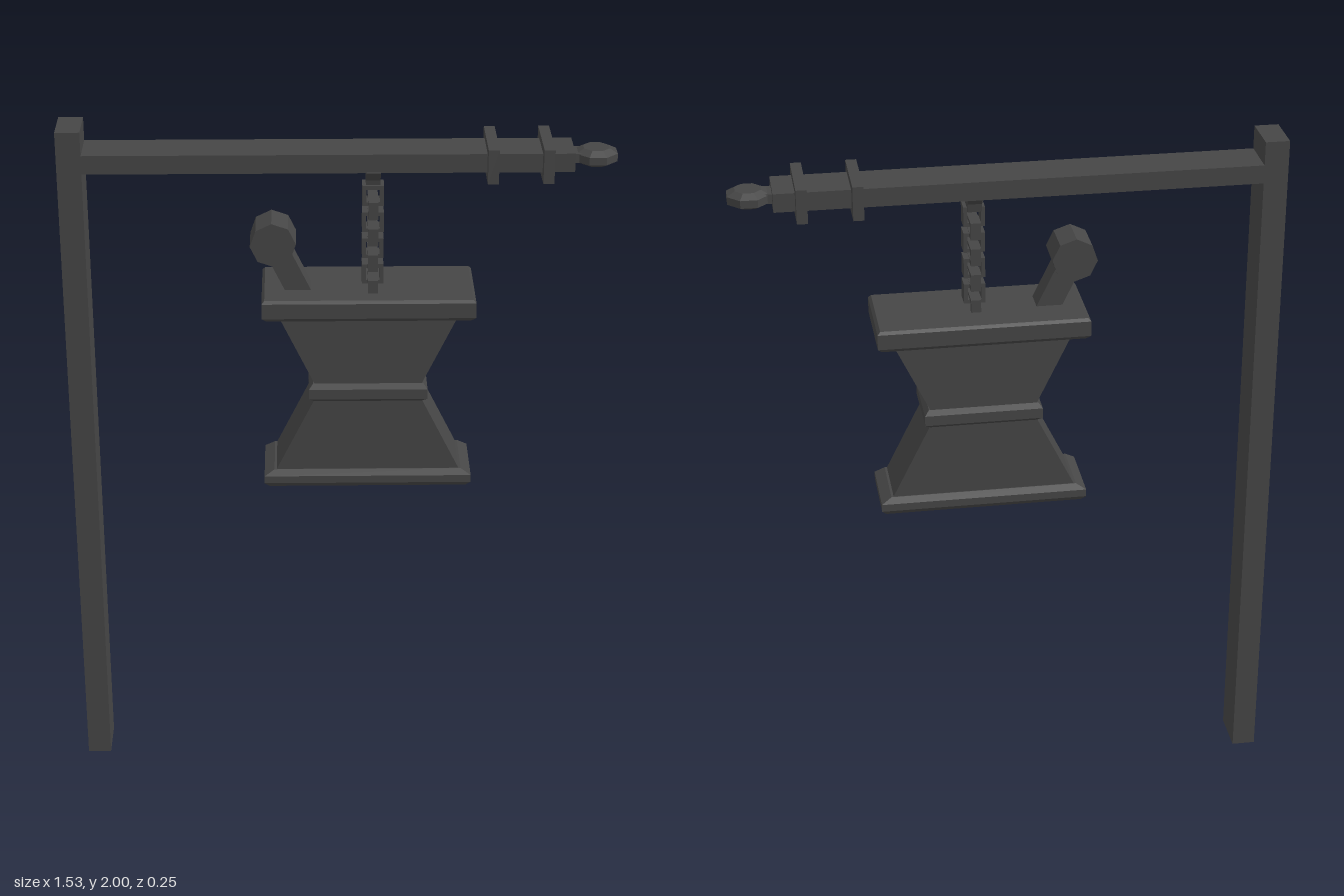
import * as THREE from 'three';

const iron = new THREE.MeshStandardMaterial({ color: 0x464646 });
iron.name = 'dark iron';

// Stack of rectangular sections [y, halfX, halfZ], capped at both ends
function loft(sections) {
  const rings = sections.map(([y, x, z]) => [[-x, y, z], [x, y, z], [x, y, -z], [-x, y, -z]]);
  const pos = [];
  const quad = (a, b, c, d) => pos.push(...a, ...b, ...c, ...a, ...c, ...d);
  for (let i = 0; i < rings.length - 1; i++) {
    for (let k = 0; k < 4; k++) {
      const n = (k + 1) % 4;
      quad(rings[i][k], rings[i][n], rings[i + 1][n], rings[i + 1][k]);
    }
  }
  quad(...rings[rings.length - 1]);
  quad(...[...rings[0]].reverse());
  const g = new THREE.BufferGeometry();
  g.setAttribute('position', new THREE.Float32BufferAttribute(pos, 3));
  g.computeVertexNormals();
  return g;
}

// Square chain link: a frame in the xy plane, centred on the origin
function linkGeometry(w, h, depth, bar) {
  const rect = (P, x, y) => new P([
    new THREE.Vector2(-x, -y), new THREE.Vector2(x, -y),
    new THREE.Vector2(x, y), new THREE.Vector2(-x, y)]);
  const s = rect(THREE.Shape, w / 2, h / 2);
  s.holes.push(rect(THREE.Path, w / 2 - bar, h / 2 - bar));
  const g = new THREE.ExtrudeGeometry(s, { depth, bevelEnabled: false });
  g.translate(0, 0, -depth / 2);
  return g;
}

export function createModel() {
  const model = new THREE.Group();
  model.name = 'hangingMortarSign';
  const add = (name, geometry, x, y, z, parent = model) => {
    const m = new THREE.Mesh(geometry, iron);
    m.name = name;
    m.position.set(x, y, z);
    parent.add(m);
    return m;
  };
  const box = (name, x0, x1, y0, y1, z0, z1) => add(name,
    new THREE.BoxGeometry(x1 - x0, y1 - y0, z1 - z0),
    (x0 + x1) / 2, (y0 + y1) / 2, (z0 + z1) / 2);

  // Post and arm
  box('post', -0.768, -0.7, 0, 2, -0.072, 0.057);
  box('arm', -0.7, 0.645, 1.88, 1.933, -0.072, 0.057);
  box('armCollar', 0.405, 0.435, 1.858, 1.955, -0.11, 0.09);
  box('armCollar', 0.556, 0.586, 1.858, 1.955, -0.11, 0.09);
  box('finialNeck', 0.64, 0.68, 1.893, 1.92, -0.04, 0.022);

  // Eight-sided finial with bevelled rim
  const profile = [[0, -0.023], [0.038, -0.023], [0.062, -0.011], [0.062, 0.011], [0.038, 0.023], [0, 0.023]];
  const finial = new THREE.LatheGeometry(profile.map(p => new THREE.Vector2(...p)), 8, Math.PI / 8)
    .toNonIndexed();
  finial.computeVertexNormals();
  add('finial', finial, 0.708, 1.906, -0.01);

  // Flared bracket under the arm
  add('chainBracket', loft([[1.825, 0.02, 0.025], [1.85, 0.02, 0.03], [1.882, 0.02, 0.06]]), 0.095, 0, 0.005);

  // Chain of links set alternately across and along
  const chain = new THREE.Group();
  chain.name = 'chain';
  model.add(chain);
  const acrossLink = linkGeometry(0.06, 0.058, 0.05, 0.011);
  const alongLink = linkGeometry(0.112, 0.05, 0.028, 0.012);
  alongLink.rotateY(Math.PI / 2);
  for (let i = 0; i < 4; i++) {
    const y = 1.807 - i * 0.077;
    add('acrossLink', acrossLink, 0.095, y, 0.015, chain);
    add('alongLink', alongLink, 0.095, y - 0.033, 0.017, chain);
  }

  // Mortar, from foot to rim
  const mortar = new THREE.Group();
  mortar.name = 'mortar';
  mortar.position.x = 0.083;
  model.add(mortar);
  add('foot', loft([[0.935, 0.283, 0.088], [0.95, 0.297, 0.1], [0.972, 0.297, 0.1],
    [0.99, 0.268, 0.09]]), 0, 0, 0, mortar);
  add('lowerBody', loft([[0.985, 0.264, 0.088], [1.215, 0.15, 0.088]]), 0, 0, 0, mortar);
  add('waistBand', loft([[1.207, 0.152, 0.09], [1.217, 0.168, 0.1], [1.247, 0.168, 0.1],
    [1.263, 0.156, 0.092]]), 0, 0, 0, mortar);
  add('upperBody', loft([[1.255, 0.148, 0.092], [1.48, 0.256, 0.092]]), 0, 0, 0, mortar);
  add('rim', loft([[1.467, 0.285, 0.118], [1.478, 0.298, 0.127], [1.522, 0.298, 0.127],
    [1.531, 0.29, 0.122]]), 0, 0, 0, mortar);

  // Pestle leaning out of the mortar
  const pestle = new THREE.Group();
  pestle.name = 'pestle';
  pestle.position.set(-0.182, 1.672, 0.01);
  pestle.rotation.z = 0.45;
  model.add(pestle);
  add('pestleHandle', new THREE.BoxGeometry(0.066, 0.17, 0.07), 0, -0.105, 0, pestle);
  const head = new THREE.CylinderGeometry(0.064, 0.064, 0.11, 8).toNonIndexed();
  head.rotateX(Math.PI / 2);
  head.rotateZ(Math.PI / 8);
  head.computeVertexNormals();
  add('pestleHead', head, 0, 0, 0, pestle);

  return model;
}
